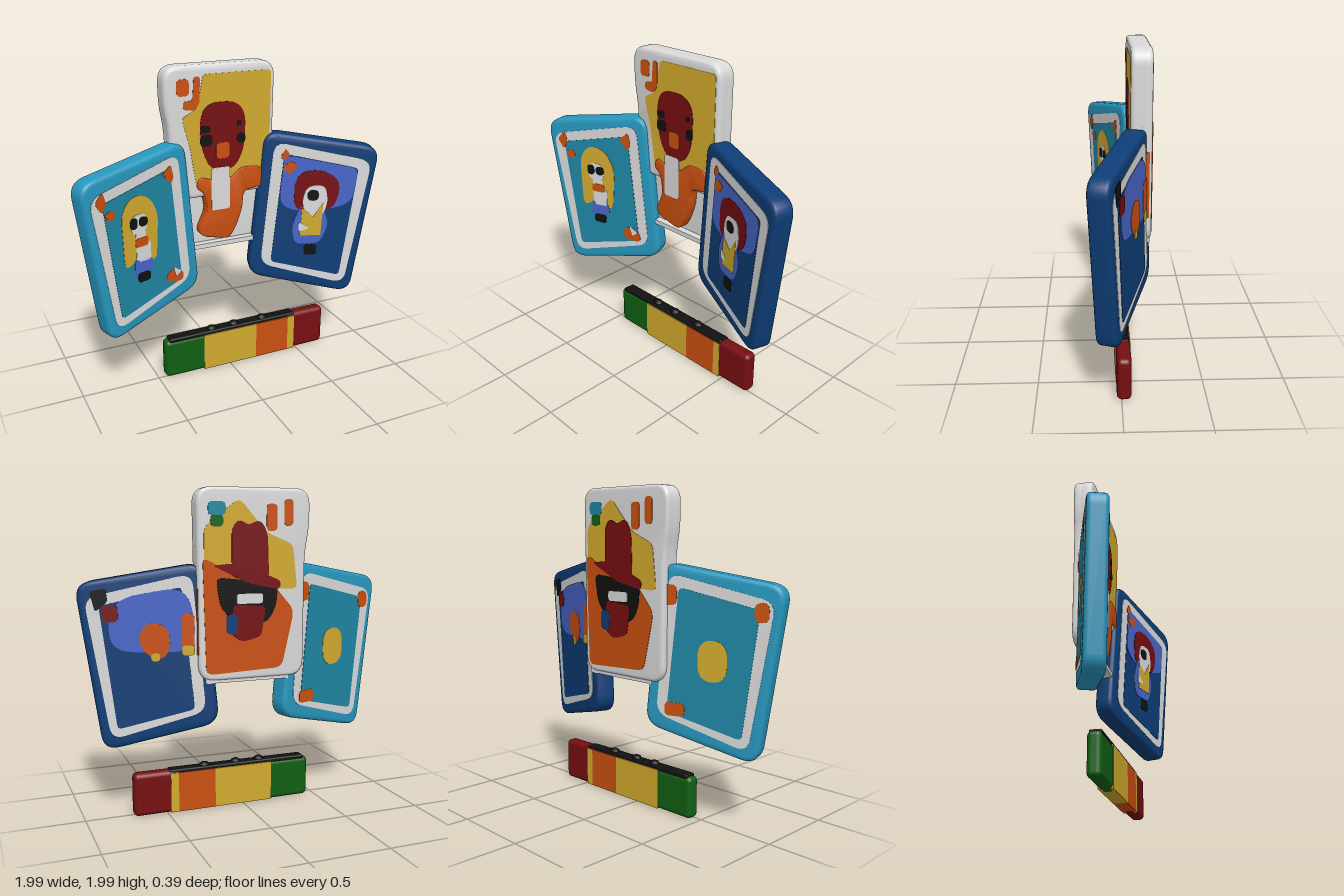
import * as THREE from 'three';
import { toCreasedNormals } from 'three/addons/utils/BufferGeometryUtils.js';
import { RoundedBoxGeometry } from 'three/addons/geometries/RoundedBoxGeometry.js';

const mat = (name, color) => Object.assign(new THREE.MeshStandardMaterial({ color }), { name });
const M = {
  white: mat('white', 0xdadada), aqua: mat('aqua', 0x2798bf), teal: mat('teal', 0x1f86a4),
  navy: mat('navy', 0x0e3d76), violet: mat('periwinkle', 0x4865c8), gold: mat('gold', 0xd2aa2f),
  orange: mat('orange', 0xca5010), red: mat('dark red', 0x760e11), black: mat('black', 0x111111),
  green: mat('green', 0x105f12),
};
const HALF = 0.0625, LAYER = 0.0025;

// Closed outline from x,y pairs with corners rounded by up to r
function outline(p, r = 0) {
  const v = [];
  for (let i = 0; i < p.length; i += 2) v.push(new THREE.Vector2(p[i], p[i + 1]));
  if (!r) return new THREE.Shape(v);
  const s = new THREE.Shape(), n = v.length;
  const toward = (a, b) => a.clone().lerp(b, Math.min(0.5, r / a.distanceTo(b)));
  v.forEach((c, i) => {
    const a = toward(c, v[(i + n - 1) % n]), b = toward(c, v[(i + 1) % n]);
    if (i) s.lineTo(a.x, a.y); else s.moveTo(a.x, a.y);
    s.quadraticCurveTo(c.x, c.y, b.x, b.y);
  });
  s.closePath();
  return s;
}
const oval = (x, y, rx, ry = rx) => [x - rx, y - ry, x + rx, y - ry, x + rx, y + ry, x - rx, y + ry];
const rect = (x0, y0, x1, y1) => [x0, y0, x1, y0, x1, y1, x0, y1];
const flip = (p) => p.map((c, i) => (i % 2 ? c : -c));
const shift = (p, d) => p.map((c, i) => (i % 2 ? c : c + d));

// Rounded slab from z0 to z1
function slab(p, r, z0, z1, b) {
  const g = new THREE.ExtrudeGeometry(outline(p, r), {
    depth: z1 - z0 - 2 * b, bevelThickness: b, bevelSize: b, bevelOffset: -b, bevelSegments: 4, curveSegments: 8,
  });
  return toCreasedNormals(g.translate(0, 0, z0 + b), 0.6);
}

// A card frame whose depth runs with slope k along x; returns helpers that add parts
function makeCard(root, name, k, z0) {
  const group = new THREE.Group();
  group.name = name;
  root.add(group);
  const len = Math.hypot(1, k), nx = -k / len;
  const m = new THREE.Matrix4().makeBasis(
    new THREE.Vector3(1, 0, k), new THREE.Vector3(0, 1, 0), new THREE.Vector3(nx, 0, 1 / len)).setPosition(0, 0, z0);
  const add = (part, material, g) => {
    const mesh = new THREE.Mesh(g.applyMatrix4(m), material);
    mesh.name = part;
    group.add(mesh);
  };
  // Thin painted plate on the front (side 1) or back (side -1)
  const paint = (side, layer, part, material, p, r = 0) => {
    const g = new THREE.ExtrudeGeometry(outline(p, r), { depth: LAYER, bevelEnabled: false, curveSegments: 6 });
    const d = side * (HALF + layer * LAYER);
    add(part, material, g.translate(-nx * d, 0, side > 0 ? d : d - LAYER));
  };
  return { add, paint };
}

// Outlines shared by both side cards (given for the right-hand one)
const EDGE = [-0.995, 1.425, -0.285, 1.55, -0.19, 0.58, -0.855, 0.41];
const BAND = [-0.925, 1.34, -0.325, 1.485, -0.25, 0.655, -0.79, 0.485];
const FIELD = [-0.845, 1.295, -0.385, 1.405, -0.315, 0.67, -0.755, 0.55];

function sideCard(root, name, s, body, field) {
  const card = makeCard(root, name, s * 0.34, -0.2);
  const side = (p) => (s > 0 ? flip(p) : p);
  card.add('cardBody', body, slab(side(EDGE), 0.1, -HALF, HALF, 0.025));
  for (const f of [1, -1]) {
    const dx = f > 0 ? 0 : s * 0.035;
    card.paint(f, 0, 'borderBand', M.white, shift(side(BAND), dx), 0.08);
    card.paint(f, 1, 'pictureField', field, shift(side(FIELD), dx), 0.03);
  }
  return card.paint;
}

function tealCard(root) {
  const paint = sideCard(root, 'tealCard', -1, M.aqua, M.teal);
  const f = (...a) => paint(1, ...a);
  f(2, 'longHair', M.gold, [-0.72, 0.86, -0.73, 1.2, -0.68, 1.28, -0.61, 1.3, -0.53, 1.26, -0.48, 1.15, -0.5, 0.86, -0.56, 0.88, -0.6, 0.98, -0.66, 0.88], 0.06);
  f(3, 'face', M.white, oval(-0.615, 1.12, 0.055, 0.06), 0.05);
  f(4, 'eye', M.black, oval(-0.65, 1.13, 0.025, 0.035), 0.03);
  f(4, 'eye', M.black, oval(-0.585, 1.13, 0.03), 0.03);
  f(3, 'neck', M.white, rect(-0.64, 1.02, -0.57, 1.07));
  f(3, 'shirt', M.white, rect(-0.64, 0.88, -0.54, 1.0), 0.02);
  f(4, 'collar', M.orange, oval(-0.6, 1.005, 0.045, 0.028), 0.02);
  f(3, 'trousers', M.violet, [-0.66, 0.8, -0.65, 0.9, -0.53, 0.89, -0.52, 0.81], 0.02);
  f(4, 'boots', M.black, rect(-0.635, 0.75, -0.55, 0.81), 0.02);
  f(2, 'cornerMark', M.orange, [-0.89, 1.31, -0.84, 1.37, -0.82, 1.3, -0.85, 1.24], 0.02);
  f(2, 'cornerHeart', M.orange, [-0.84, 1.23, -0.79, 1.25, -0.76, 1.21, -0.8, 1.18], 0.02);
  f(2, 'cornerMark', M.orange, [-0.44, 1.38, -0.38, 1.43, -0.36, 1.35, -0.38, 1.31], 0.02);
  f(2, 'cornerHeart', M.orange, [-0.44, 0.72, -0.37, 0.77, -0.3, 0.71, -0.31, 0.66, -0.41, 0.67], 0.03);
  f(3, 'heartHighlight', M.white, [-0.38, 0.77, -0.32, 0.73, -0.36, 0.7], 0.01);

  paint(-1, 2, 'backOval', M.gold, oval(-0.62, 0.99, 0.085, 0.12), 0.1);
  paint(-1, 2, 'backMark', M.orange, oval(-0.36, 1.36, 0.05, 0.06), 0.04);
  paint(-1, 2, 'backMark', M.orange, oval(-0.89, 1.28, 0.04, 0.055), 0.04);
  paint(-1, 2, 'backMark', M.orange, oval(-0.4, 0.69, 0.06, 0.04), 0.03);
}

function navyCard(root) {
  const paint = sideCard(root, 'navyCard', 1, M.navy, M.navy);
  const f = (...a) => paint(1, ...a);
  f(2, 'sky', M.violet, [0.385, 1.4, 0.845, 1.295, 0.81, 1.07, 0.7, 1.03, 0.45, 1.02, 0.36, 1.08], 0.06);
  f(3, 'coat', M.violet, [0.46, 0.79, 0.44, 0.92, 0.5, 1.08, 0.62, 1.08, 0.67, 0.92, 0.62, 0.79], 0.05);
  f(3, 'hair', M.red, [0.45, 1.02, 0.45, 1.24, 0.53, 1.3, 0.66, 1.28, 0.74, 1.2, 0.7, 1.02], 0.08);
  f(4, 'face', M.white, [0.5, 1.1, 0.53, 1.19, 0.64, 1.19, 0.66, 1.08, 0.63, 0.98, 0.52, 0.98], 0.04);
  f(5, 'eye', M.black, oval(0.565, 1.125, 0.036), 0.035);
  f(5, 'waistcoat', M.gold, [0.49, 0.85, 0.5, 1.04, 0.57, 0.98, 0.63, 1.07, 0.62, 0.85]);
  f(6, 'glove', M.white, [0.48, 0.95, 0.55, 0.9, 0.48, 0.88], 0.02);
  f(4, 'boots', M.black, rect(0.52, 0.71, 0.6, 0.785), 0.02);
  f(2, 'cornerMark', M.orange, [0.36, 1.38, 0.39, 1.44, 0.42, 1.4, 0.4, 1.35], 0.02);
  f(3, 'cornerHeart', M.orange, [0.37, 1.31, 0.42, 1.36, 0.47, 1.33, 0.42, 1.27], 0.02);

  const b = (...a) => paint(-1, ...a);
  b(2, 'backSky', M.violet, [0.4, 1.41, 0.78, 1.34, 0.84, 1.18, 0.8, 1.02, 0.36, 1.02, 0.34, 1.2], 0.12);
  b(3, 'backFigure', M.orange, [0.48, 1.05, 0.5, 1.18, 0.62, 1.2, 0.67, 1.1, 0.62, 1.0, 0.53, 0.97], 0.06);
  b(4, 'backSpot', M.gold, oval(0.57, 0.99, 0.025), 0.02);
  b(3, 'backStripe', M.orange, oval(0.385, 1.14, 0.035, 0.11), 0.03);
  b(4, 'backPatch', M.gold, oval(0.385, 1.03, 0.035, 0.03), 0.02);
  b(2, 'backCorner', M.black, [0.83, 1.32, 0.84, 1.4, 0.93, 1.38, 0.9, 1.26], 0.02);
  b(3, 'backCornerMark', M.red, oval(0.82, 1.25, 0.045, 0.05), 0.03);
}

function whiteCard(root) {
  const { add, paint } = makeCard(root, 'whiteCard', 0, -0.125);
  const top = [0.34, 1.985, -0.385, 1.985, -0.385, 1.75, -0.355, 1.6];
  // Full back slab, thicker upper half, shallow tray below
  add('cardBack', M.white, slab([...top, -0.35, 0.84, 0.33, 0.84], 0.1, -HALF, 0.01, 0.02));
  add('cardFront', M.white, slab([...top, -0.35, 1.17, 0.33, 1.17], 0.1, -0.04, HALF, 0.025));
  add('trayLip', M.white, new THREE.BoxGeometry(0.54, 0.03, 0.11).translate(0.02, 0.84, 0));
  add('sidePaint', M.orange, new THREE.BoxGeometry(0.006, 0.4, 0.035).translate(0.333, 1.2, -0.03));
  add('bodyDrape', M.orange, slab([-0.17, 1.31, -0.09, 1.28, 0.03, 1.27, 0.11, 1.34, 0.25, 1.33, 0.28, 1.2, 0.13, 1.18,
    0.12, 1.06, 0.08, 0.95, 0.03, 0.87, -0.15, 0.91, -0.18, 0.95, -0.12, 1.08, -0.14, 1.2, -0.2, 1.24], 0.04, 0, 0.072, 0.01));

  const f = (...a) => paint(1, ...a);
  f(0, 'goldField', M.gold, [-0.14, 1.93, 0.31, 1.93, 0.305, 1.22, -0.19, 1.24, -0.23, 1.5, -0.28, 1.68, -0.18, 1.73], 0.03);
  f(1, 'head', M.red, [-0.12, 1.76, 0.07, 1.76, 0.14, 1.68, 0.13, 1.45, 0.06, 1.33, -0.08, 1.33, -0.15, 1.45, -0.17, 1.65], 0.08);
  f(2, 'eye', M.black, oval(-0.13, 1.6, 0.032, 0.022), 0.02);
  f(2, 'eye', M.black, oval(-0.125, 1.53, 0.04, 0.035), 0.03);
  f(2, 'eye', M.black, oval(0.11, 1.525, 0.028, 0.032), 0.03);
  f(2, 'eye', M.black, oval(0.095, 1.62, 0.015), 0.01);
  f(2, 'beak', M.orange, oval(-0.015, 1.46, 0.045, 0.05), 0.03);
  f(4, 'neck', M.white, rect(-0.095, 1.08, 0.03, 1.355), 0.02);
  f(1, 'cornerMark', M.orange, oval(-0.27, 1.86, 0.04, 0.05), 0.03);
  f(1, 'cornerHook', M.orange, [-0.2, 1.92, -0.16, 1.92, -0.165, 1.76, -0.2, 1.72, -0.27, 1.73, -0.27, 1.78, -0.21, 1.78], 0.02);

  const b = (...a) => paint(-1, ...a);
  b(0, 'backGold', M.gold, [0.3, 1.75, 0.08, 1.92, -0.1, 1.72, -0.27, 1.65, -0.3, 1.38, 0.3, 1.4], 0.04);
  b(1, 'backOrange', M.orange, [0.31, 1.58, 0.16, 1.5, -0.15, 1.4, -0.28, 1.25, -0.2, 0.9, 0.29, 0.88], 0.05);
  b(2, 'backHead', M.black, [0.23, 1.46, 0.2, 1.28, 0.1, 1.18, -0.1, 1.18, -0.16, 1.28, -0.17, 1.42], 0.05);
  b(3, 'hatCrown', M.red, [0.13, 1.5, 0.13, 1.75, 0.08, 1.8, 0.02, 1.76, -0.05, 1.8, -0.1, 1.72, -0.11, 1.44], 0.05);
  b(3, 'hatBrim', M.red, [0.25, 1.53, 0.12, 1.54, -0.1, 1.47, -0.19, 1.43, -0.18, 1.38, 0.02, 1.42], 0.03);
  b(3, 'chin', M.red, [0.12, 1.3, 0.14, 1.12, 0.06, 1.07, -0.06, 1.1, -0.09, 1.28], 0.03);
  b(4, 'teeth', M.white, rect(-0.07, 1.3, 0.1, 1.36), 0.02);
  b(4, 'scarf', M.navy, oval(0.13, 1.18, 0.035, 0.06), 0.03);
  b(1, 'flower', M.teal, oval(0.22, 1.86, 0.055, 0.04), 0.03);
  b(1, 'stem', M.green, oval(0.22, 1.79, 0.04, 0.035), 0.03);
  b(1, 'backMark', M.orange, oval(-0.13, 1.81, 0.035, 0.08), 0.03);
  b(1, 'backMark', M.orange, oval(-0.24, 1.84, 0.03, 0.08), 0.03);
}

// Striped bar under the cards
function stripedBar(root) {
  const bar = new THREE.Group();
  bar.name = 'stripedBar';
  root.add(bar);
  const add = (name, material, g, x, y) => {
    const mesh = new THREE.Mesh(g, material);
    mesh.name = name;
    mesh.position.set(x, y, -0.015);
    bar.add(mesh);
  };
  const ends = [['greenEnd', M.green, -0.455, -0.1, 0.26], ['redEnd', M.red, 0.4, 0.71, 0.27]];
  for (const [name, m, a, b, h] of ends) add(name, m, new RoundedBoxGeometry(b - a, h, 0.086, 4, 0.03), (a + b) / 2, h / 2);
  const stripes = [['goldStripe', M.gold, -0.19, 0.19], ['orangeStripe', M.orange, 0.19, 0.43], ['goldStripe', M.gold, 0.43, 0.48]];
  for (const [name, m, a, b] of stripes) add(name, m, new THREE.BoxGeometry(b - a, 0.25, 0.09), (a + b) / 2, 0.128);
  add('topStrip', M.black, new RoundedBoxGeometry(0.91, 0.03, 0.075, 2, 0.01), 0.03, 0.258);
  for (const x of [-0.12, 0.04, 0.25]) add('topBump', M.black, new THREE.SphereGeometry(0.035, 12, 8).scale(1, 0.7, 0.9), x, 0.27);
}

export function createModel() {
  const root = new THREE.Group();
  root.name = 'cardDisplay';
  whiteCard(root);
  tealCard(root);
  navyCard(root);
  stripedBar(root);
  return root;
}
